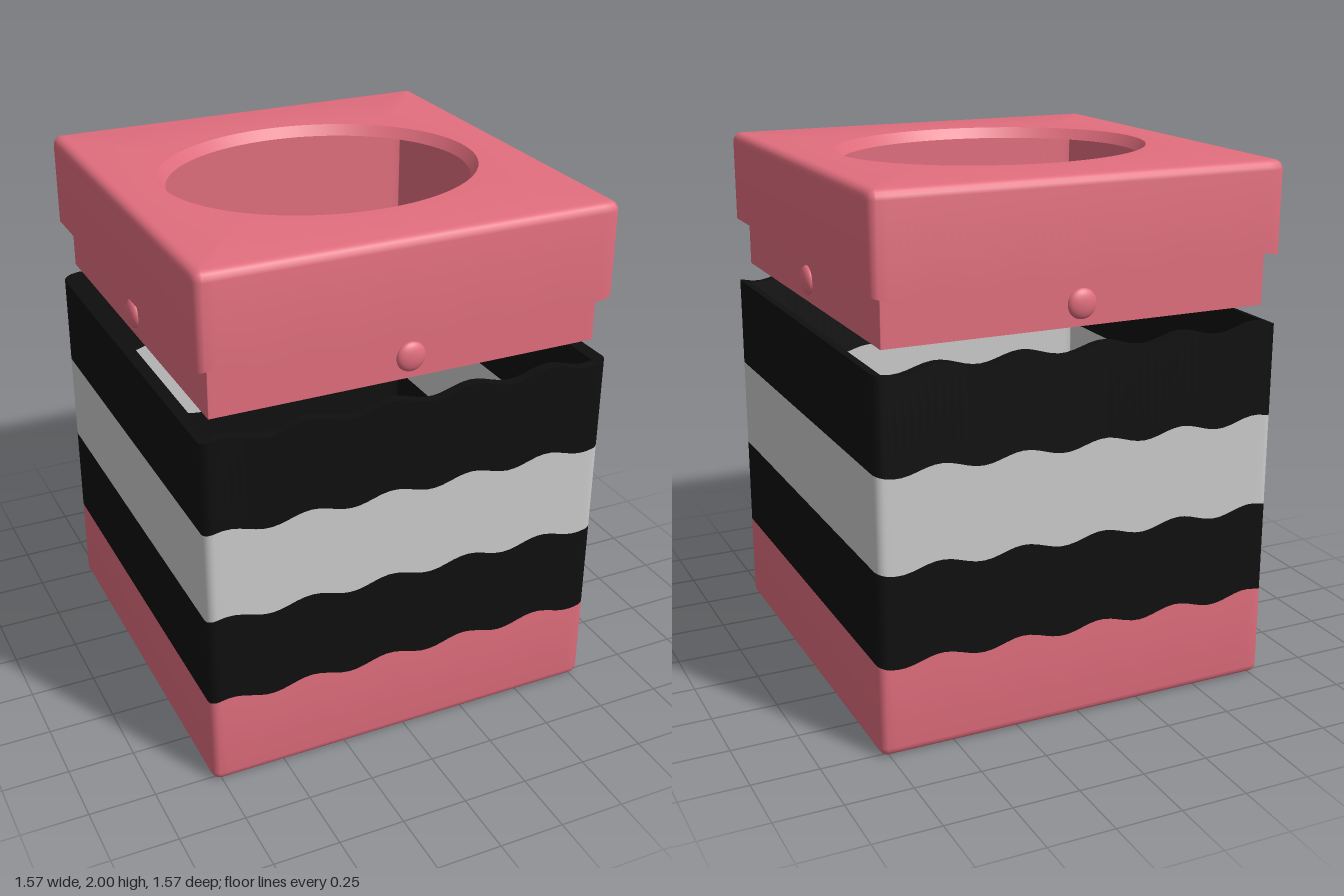
import * as THREE from 'three';
import { toCreasedNormals } from 'three/addons/utils/BufferGeometryUtils.js';

const HALF = 0.785, WALL = 0.04, ROUND = 0.035;
const SIDE = 50, CORNER = 6; // segments per straight side and per corner

const pink = new THREE.MeshStandardMaterial({ color: 0xe26e7e });
const black = new THREE.MeshStandardMaterial({ color: 0x0f0f0f });
const grey = new THREE.MeshStandardMaterial({ color: 0xcccccc });

// five ripples across the width
const wave = (x) => 0.016 * Math.sin(20 * (x + HALF));

// rounded square outline, optionally with a rippled height
function square(half, radius, y, rippled = false) {
  const pts = [], c = half - radius;
  for (let q = 0; q < 4; q++) {
    const turn = (q * Math.PI) / 2, cos = Math.cos(turn), sin = Math.sin(turn);
    const add = (u, v) => {
      const x = u * cos - v * sin, z = u * sin + v * cos;
      pts.push([x, y + (rippled ? wave(x) : 0), z]);
    };
    for (let i = 0; i < SIDE; i++) add(half, -c + (2 * c * i) / SIDE);
    for (let i = 0; i < CORNER; i++) {
      const a = (i / CORNER) * (Math.PI / 2);
      add(c + radius * Math.cos(a), c + radius * Math.sin(a));
    }
  }
  return pts;
}

// ellipse with the same point count as the square outline
function ellipse(a, b, y) {
  return square(1, 0.01, y).map(([x, , z]) => {
    const t = Math.atan2(z, x);
    return [a * Math.cos(t), y, b * Math.sin(t)];
  });
}

// skin a list of outlines: up the outside, down the inside
function loft(name, rings, material, closed = true) {
  const n = rings[0].length, index = [];
  const last = closed ? rings.length : rings.length - 1;
  for (let i = 0; i < last; i++) {
    const k = (i + 1) % rings.length;
    for (let j = 0; j < n; j++) {
      const m = (j + 1) % n;
      const a = i * n + j, b = i * n + m, c = k * n + m, d = k * n + j;
      index.push(a, d, c, a, c, b);
    }
  }
  const geo = new THREE.BufferGeometry();
  geo.setAttribute('position', new THREE.Float32BufferAttribute(rings.flat(2), 3));
  geo.setIndex(index);
  const mesh = new THREE.Mesh(toCreasedNormals(geo, 0.6), material);
  mesh.name = name;
  return mesh;
}

// rounded edge at the top (dir 1) or bottom (dir -1), listed upwards
function fillet(y, dir) {
  const rings = [];
  for (let i = 0; i <= 4; i++) {
    const a = (i / 4) * (Math.PI / 2);
    const r = ROUND * Math.cos(a);
    rings.push(square(HALF - ROUND + r, r, y - dir * ROUND * (1 - Math.sin(a))));
  }
  return dir > 0 ? rings : rings.reverse();
}

export function createModel() {
  const group = new THREE.Group();
  const inner = HALF - WALL;

  // base tray with a closed floor
  group.add(loft('base', [
    square(0, 0, 0),
    ...fillet(0, -1),
    square(HALF, ROUND, 0.35, true),
    square(inner, 0.005, 0.35, true),
    square(inner, 0.005, WALL),
    square(0, 0, WALL),
  ], pink, false));

  // stacked rippled bands
  [['lowerBand', black], ['middleBand', grey], ['upperBand', black]].forEach(([name, mat], i) => {
    const y0 = 0.35 * (i + 1), y1 = y0 + 0.35;
    group.add(loft(name, [
      square(HALF, ROUND, y0, true),
      square(HALF, ROUND, y1, true),
      square(inner, 0.005, y1, true),
      square(inner, 0.005, y0, true),
    ], mat));
  });

  // raised lid with a tapered oval opening
  const lid = new THREE.Group();
  lid.name = 'lid';
  lid.add(loft('lidCover', [
    square(HALF, ROUND, 1.655, true),
    ...fillet(2, 1),
    ellipse(0.602, 0.503, 2),
    ellipse(0.573, 0.48, 1.96),
    square(0.738, 0.002, 1.96),
    square(0.738, 0.002, 1.655, true),
  ], pink));

  // plug lip under the lid
  lid.add(loft('lidLip', [
    square(0.74, 0.002, 1.47),
    square(0.74, 0.002, 1.965),
    square(0.7, 0.002, 1.965),
    square(0.7, 0.002, 1.47),
  ], pink));

  // snap bump in the middle of each lip side
  const bumpGeo = new THREE.SphereGeometry(0.055, 32, 20);
  for (let i = 0; i < 4; i++) {
    const a = (i * Math.PI) / 2;
    const bump = new THREE.Mesh(bumpGeo, pink);
    bump.name = 'snapBump';
    bump.scale.z = 0.45;
    bump.rotation.y = a;
    bump.position.set(0.74 * Math.sin(a), 1.55, 0.74 * Math.cos(a));
    lid.add(bump);
  }
  group.add(lid);
  return group;
}
